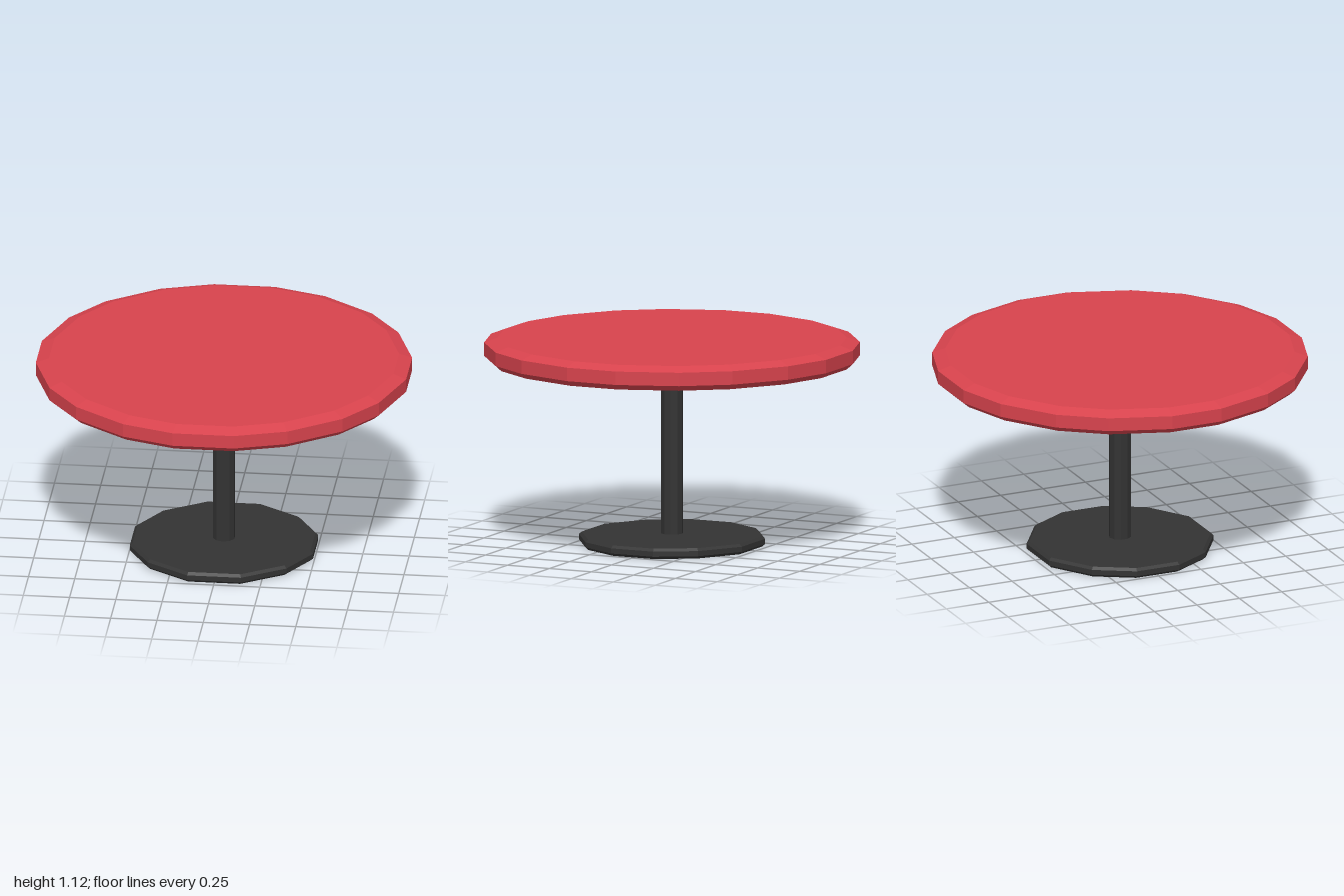
import * as THREE from 'three';

// Mirror one quadrant of [x, z] points into a full closed outline
function fullOutline(quadrant) {
  const flip = (sx, sz) => quadrant.map(([x, z]) => [x * sx, z * sz]);
  return [
    ...flip(1, 1),
    ...flip(1, -1).reverse(),
    ...flip(-1, -1),
    ...flip(-1, 1).reverse(),
  ];
}

// Solid disc: the outline is scaled at each [height, scale] level, then capped
function bevelledDisc(outline, levels) {
  const n = outline.length;
  const positions = [];
  const index = [];
  for (const [y, s] of levels) {
    for (const [x, z] of outline) positions.push(x * s, y, z * s);
  }
  for (let l = 0; l < levels.length - 1; l++) {
    for (let i = 0; i < n; i++) {
      const a = l * n + i, b = l * n + (i + 1) % n;
      index.push(a, b, b + n, a, b + n, a + n);
    }
  }
  const top = (levels.length - 1) * n;
  for (let i = 1; i < n - 1; i++) {
    index.push(0, i + 1, i);
    index.push(top, top + i, top + i + 1);
  }
  const geometry = new THREE.BufferGeometry();
  geometry.setAttribute('position', new THREE.Float32BufferAttribute(positions, 3));
  geometry.setIndex(index);
  const flat = geometry.toNonIndexed();
  flat.computeVertexNormals();
  return flat;
}

export function createModel() {
  const group = new THREE.Group();
  group.name = 'pedestalTable';
  const red = new THREE.MeshStandardMaterial({ color: 0xd8434d, flatShading: true });
  const black = new THREE.MeshStandardMaterial({ color: 0x333333, flatShading: true });

  const add = (name, geometry, material) => {
    const mesh = new THREE.Mesh(geometry, material);
    mesh.name = name;
    group.add(mesh);
    return mesh;
  };

  // Twenty-sided top, bevelled above and below
  const topOutline = fullOutline([[0.165, 0.997], [0.445, 0.905], [0.72, 0.705], [0.89, 0.47], [1, 0.145]]);
  add('tableTop', bevelledDisc(topOutline, [[0.997, 0.967], [1.027, 1], [1.1, 1], [1.125, 0.93]]), red);

  // Ten-sided column
  const column = add('column', new THREE.CylinderGeometry(0.06, 0.06, 0.928, 10), black);
  column.position.y = 0.526;

  // Thin foot plate with softened edges
  const footOutline = fullOutline([[0.145, 0.485], [0.375, 0.335], [0.495, 0.125]]);
  add('footPlate', bevelledDisc(footOutline, [[0, 0.965], [0.015, 1], [0.043, 1], [0.057, 0.97]]), black);

  return group;
}
